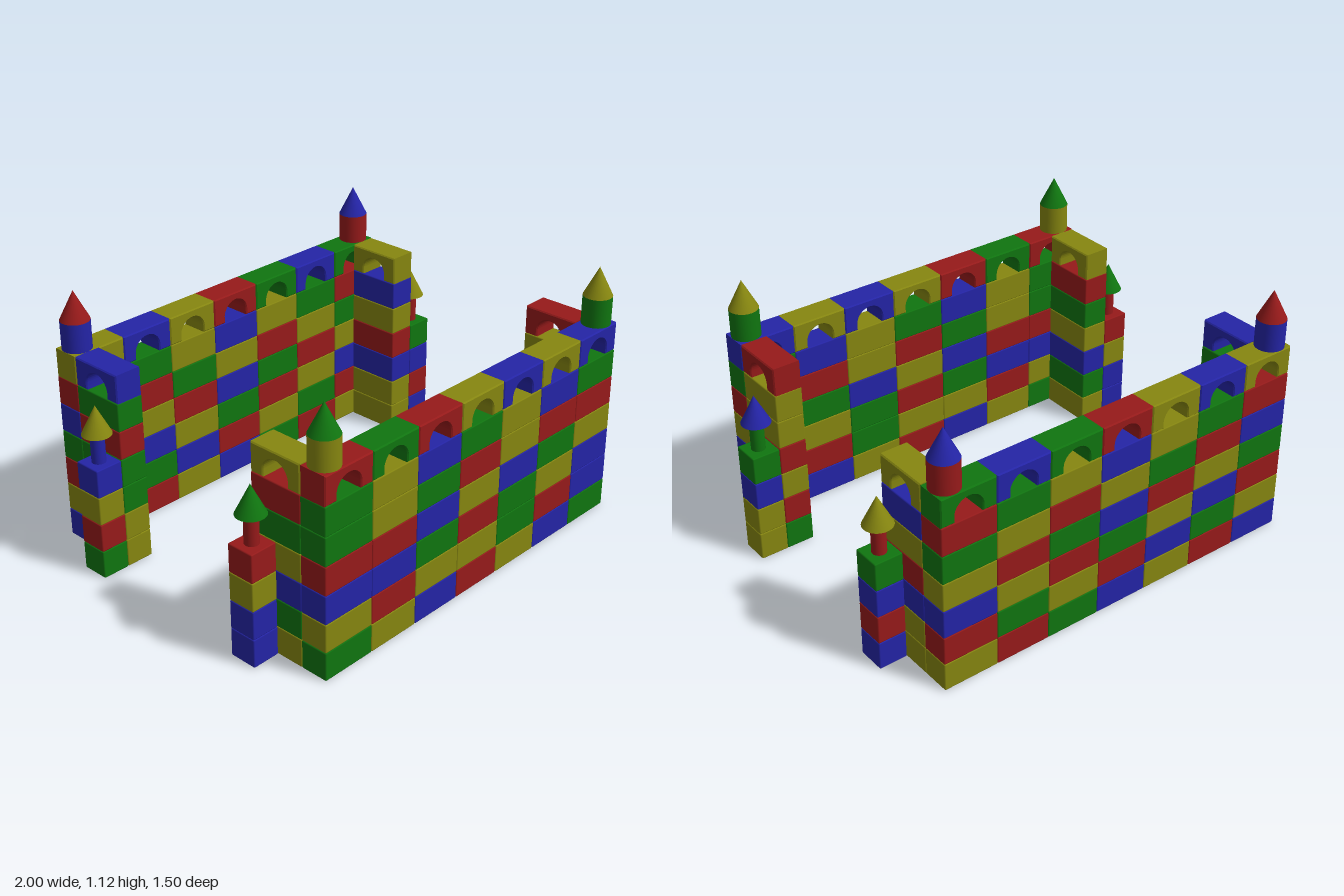
import * as THREE from 'three';
import { RoundedBoxGeometry } from 'three/addons/geometries/RoundedBoxGeometry.js';
import { toCreasedNormals } from 'three/addons/utils/BufferGeometryUtils.js';

const U = 0.125; // block height and depth; long blocks are 2U wide
const BEVEL = 0.005;

const material = (color) => new THREE.MeshStandardMaterial({ color });
const MATERIALS = {
  R: material(0x961a1a),
  G: material(0x107510),
  B: material(0x2424a6),
  Y: material(0x868610),
};

// Long block with a round-topped opening in its underside
function archGeometry() {
  const r = U / 2, spring = -U / 2 + 0.027;
  const s = new THREE.Shape();
  s.moveTo(-U, -U / 2);
  s.lineTo(-r, -U / 2);
  s.lineTo(-r, spring);
  s.absarc(0, spring, r, Math.PI, 0, true);
  s.lineTo(r, -U / 2);
  s.lineTo(U, -U / 2);
  s.lineTo(U, U / 2);
  s.lineTo(-U, U / 2);
  s.closePath();
  const g = new THREE.ExtrudeGeometry(s, {
    depth: U - 2 * BEVEL, curveSegments: 20, bevelSegments: 1,
    bevelThickness: BEVEL, bevelSize: BEVEL, bevelOffset: -BEVEL,
  });
  g.translate(0, 0, -U / 2 + BEVEL);
  return toCreasedNormals(g, 0.5);
}

export function createModel() {
  const root = new THREE.Group();
  const longBlock = new RoundedBoxGeometry(2 * U, U, U, 1, BEVEL);
  const cube = new RoundedBoxGeometry(U, U, U, 1, BEVEL);
  const arch = archGeometry();
  const cone = new THREE.ConeGeometry(U / 2, U, 32);
  const drum = new THREE.CylinderGeometry(U / 2, U / 2, U, 32);
  const post = new THREE.CylinderGeometry(0.03, 0.03, U, 24);

  function group(name) {
    const g = new THREE.Group();
    g.name = name;
    root.add(g);
    return g;
  }

  // level counts rows of blocks up from the ground
  function add(parent, name, geometry, color, x, level, z, turn = 0) {
    const m = new THREE.Mesh(geometry, MATERIALS[color]);
    m.name = name;
    m.position.set(x, (level + 0.5) * U, z);
    m.rotation.y = turn;
    parent.add(m);
  }

  // Colours run from the bottom row up; wall rows run from -x to +x
  const sides = [
    {
      name: 'front', dir: 1, shift: -0.003,
      rows: ['GYBRYBG', 'YRYYGRB', 'BBGRGYB', 'RRBYBGY', 'GYGRYRR', 'GYBGYBG', 'RGRYBYB'],
      ends: [
        { x: -1, wing: 'YGBYGRY', cubes: 'BBYR', post: 'R', postCap: 'G', drum: 'Y', drumCap: 'G' },
        { x: 1, wing: 'GRYRYYR', cubes: 'YYBG', post: 'G', postCap: 'B', drum: 'G', drumCap: 'Y' },
      ],
    },
    {
      name: 'back', dir: -1, shift: -0.003,
      rows: ['BRYBGRY', 'YGBRYGR', 'RBYGRYB', 'GYRBGRY', 'BRGYRYG', 'RGYBYGR', 'YBYRGBG'],
      ends: [
        { x: -1, wing: 'YYGGRGB', cubes: 'GRYB', post: 'B', postCap: 'Y', drum: 'B', drumCap: 'R' },
        { x: 1, wing: 'YYBRYBY', cubes: 'BRBG', post: 'R', postCap: 'Y', drum: 'R', drumCap: 'B' },
      ],
    },
  ];

  for (const side of sides) {
    const zAt = (d) => side.dir * d + side.shift;

    // Long wall, crowned with a row of arches
    const wall = group(side.name + 'Wall');
    side.rows.forEach((row, level) => [...row].forEach((color, i) => {
      const top = level === 6;
      add(wall, top ? 'wallArch' : 'wallBlock', top ? arch : longBlock, color,
        (i - 3) * 2 * U, level, zAt(5.5 * U));
    }));

    for (const end of side.ends) {
      const label = side.name + (end.x > 0 ? 'Left' : 'Right');

      // Short return wall
      const wing = group(label + 'Wing');
      [...end.wing].forEach((color, level) => {
        const top = level === 6;
        add(wing, top ? 'wingArch' : 'wingBlock', top ? arch : longBlock, color,
          end.x * 6.5 * U, level, zAt(4 * U), Math.PI / 2);
      });

      // Low turret standing outside the return wall
      const turret = group(label + 'Turret');
      const tx = end.x * 7.5 * U, tz = zAt(3.5 * U);
      [...end.cubes].forEach((color, level) => add(turret, 'turretCube', cube, color, tx, level, tz));
      add(turret, 'turretPost', post, end.post, tx, 4, tz);
      add(turret, 'turretRoof', cone, end.postCap, tx, 5, tz);

      // Tall round tower on the wall corner
      const tower = group(label + 'CornerTower');
      const cx = end.x * 6.5 * U, cz = zAt(5.5 * U);
      add(tower, 'towerDrum', drum, end.drum, cx, 7, cz);
      add(tower, 'towerRoof', cone, end.drumCap, cx, 8, cz);
    }
  }
  return root;
}
